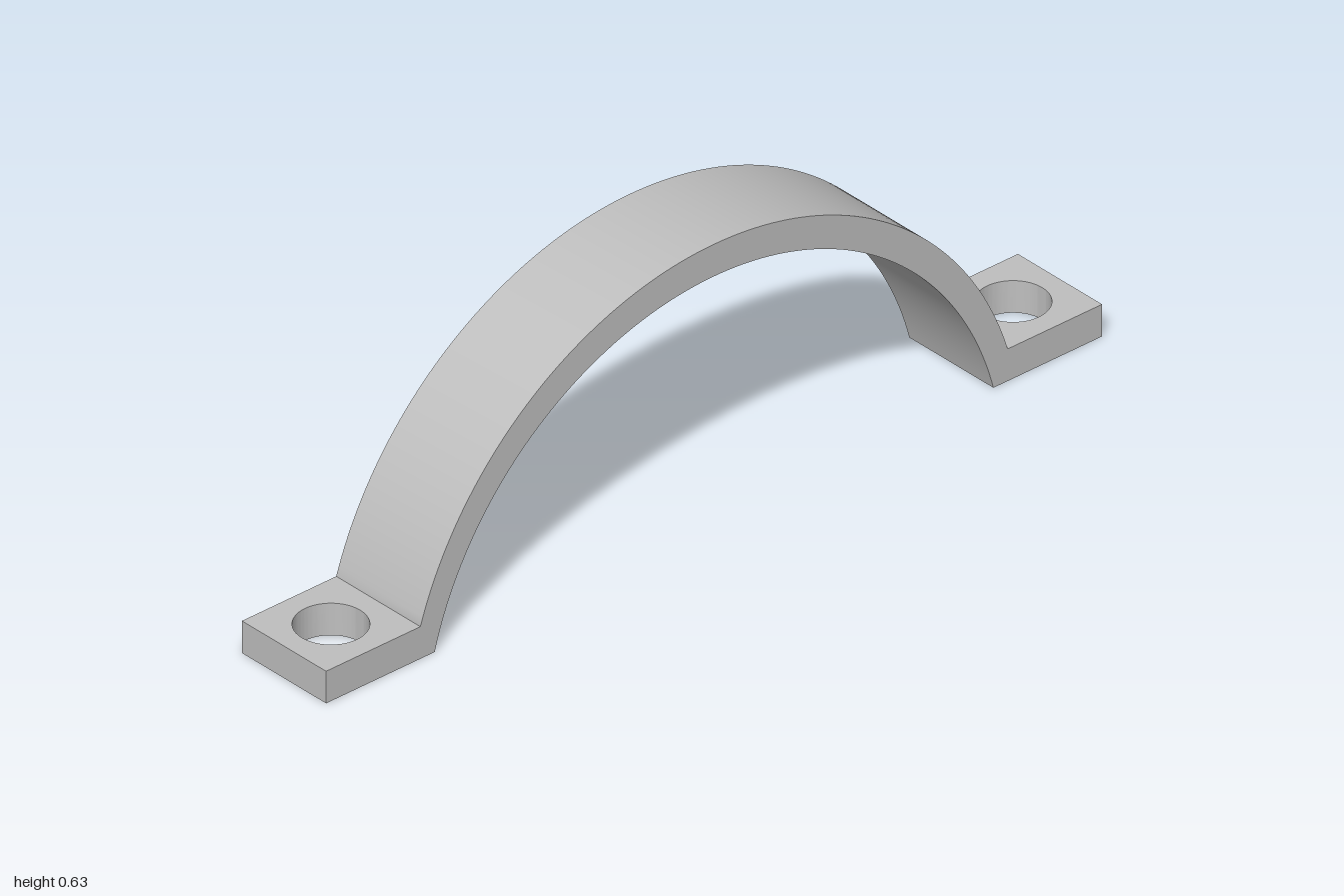
import * as THREE from 'three';
import { toCreasedNormals } from 'three/addons/utils/BufferGeometryUtils.js';

const DEPTH = 0.244;   // width of the strap along z
const THICK = 0.073;   // height of the mounting tabs
const FOOT = 0.757;    // where the arch meets a tab

// Circle through (+-halfWidth, base) that peaks at top
function arcThrough(halfWidth, base, top) {
  const rise = top - base;
  const r = (halfWidth * halfWidth + rise * rise) / (2 * rise);
  const cy = top - r;
  return { r, cy, start: Math.atan2(base - cy, halfWidth) };
}

function extrude(shape, depth) {
  const geo = new THREE.ExtrudeGeometry(shape, { depth, bevelEnabled: false, curveSegments: 48 });
  geo.translate(0, 0, -depth / 2);
  return toCreasedNormals(geo, 0.4);
}

export function createModel() {
  const group = new THREE.Group();
  group.name = 'pipeStrap';
  const metal = new THREE.MeshStandardMaterial({ color: 0xbfbfbf });
  metal.name = 'grey metal';

  // Arched band, including the small wedge at each foot
  const outer = arcThrough(FOOT, THICK, 0.627);
  const inner = arcThrough(0.72, 0, 0.554);
  const profile = new THREE.Shape();
  profile.moveTo(FOOT, 0);
  profile.lineTo(FOOT, THICK);
  profile.absarc(0, outer.cy, outer.r, outer.start, Math.PI - outer.start, false);
  profile.lineTo(-FOOT, 0);
  profile.absarc(0, inner.cy, inner.r, Math.PI - inner.start, inner.start, true);
  profile.closePath();
  const arch = new THREE.Mesh(extrude(profile, DEPTH), metal);
  arch.name = 'arch';
  group.add(arch);

  // Mounting tabs with a screw hole each
  for (const side of [1, -1]) {
    const near = side > 0 ? FOOT : -1;
    const far = side > 0 ? 1 : -FOOT;
    const plate = new THREE.Shape();
    plate.moveTo(near, -DEPTH / 2);
    plate.lineTo(far, -DEPTH / 2);
    plate.lineTo(far, DEPTH / 2);
    plate.lineTo(near, DEPTH / 2);
    plate.closePath();
    const hole = new THREE.Path();
    hole.absarc(side * 0.879, 0, 0.075, 0, Math.PI * 2, true);
    plate.holes.push(hole);
    const geo = extrude(plate, THICK);
    geo.rotateX(-Math.PI / 2);
    geo.translate(0, THICK / 2, 0);
    const tab = new THREE.Mesh(geo, metal);
    tab.name = side > 0 ? 'leftTab' : 'rightTab';
    group.add(tab);
  }
  return group;
}
